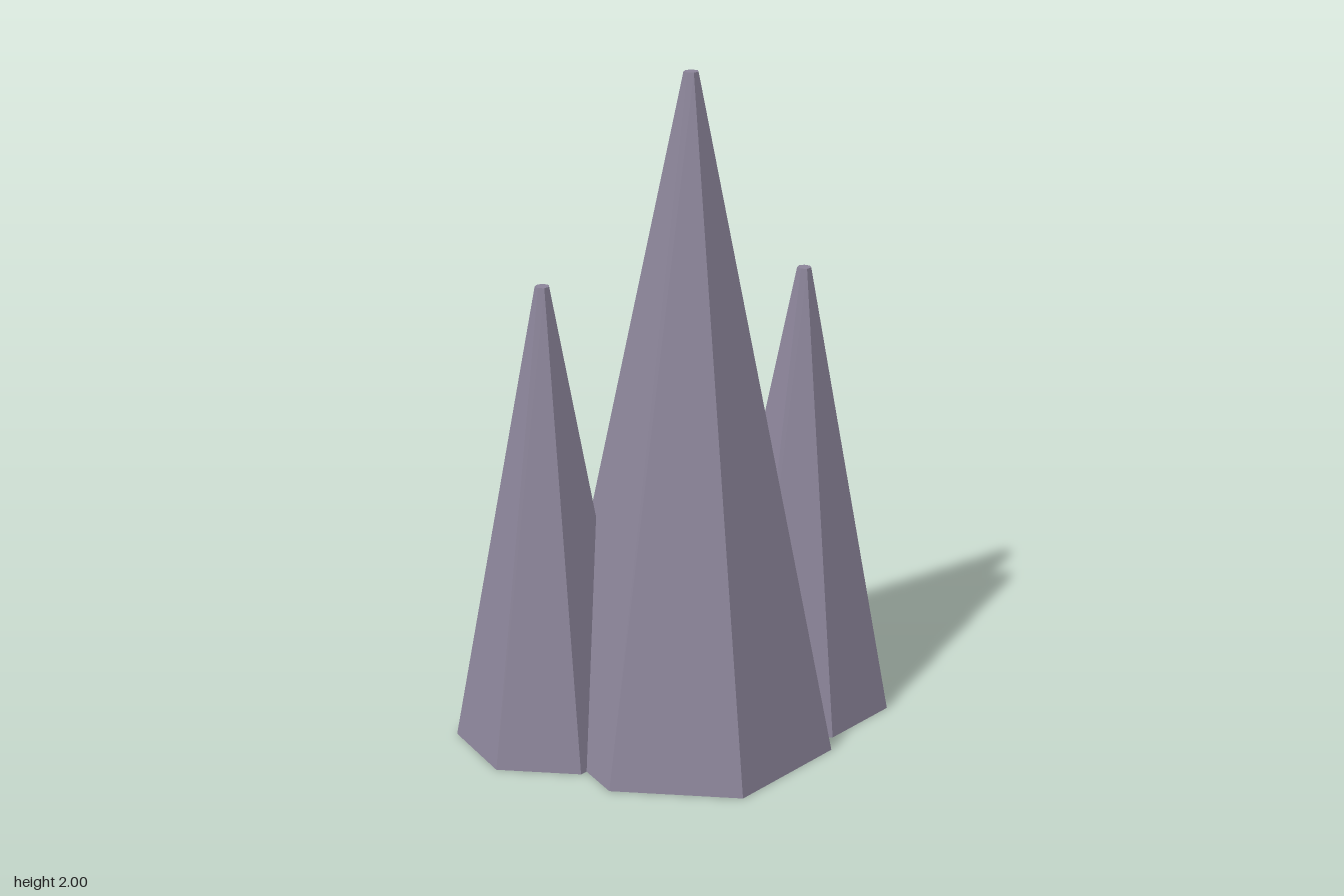
import * as THREE from 'three';

const SIDES = 7;

// A tapering seven-sided spire with a tiny flat tip, one corner pointing to the back
function makeSpire(name, x, z, radius, height, material) {
  const geometry = new THREE.CylinderGeometry(0.021, radius, height, SIDES, 1, false, Math.PI);
  geometry.translate(0, height / 2, 0);
  const spire = new THREE.Mesh(geometry, material);
  spire.name = name;
  spire.position.set(x, 0, z);
  return spire;
}

export function createModel() {
  const model = new THREE.Group();
  model.name = 'rockSpires';
  const stone = new THREE.MeshStandardMaterial({ color: 0x8b8499, flatShading: true });

  // Tall middle spire with a smaller one on each side
  model.add(
    makeSpire('mainSpire', -0.043, 0.085, 0.442, 2, stone),
    makeSpire('rightSpire', -0.343, -0.2, 0.287, 1.398, stone),
    makeSpire('leftSpire', 0.333, 0.175, 0.293, 1.386, stone)
  );
  return model;
}
